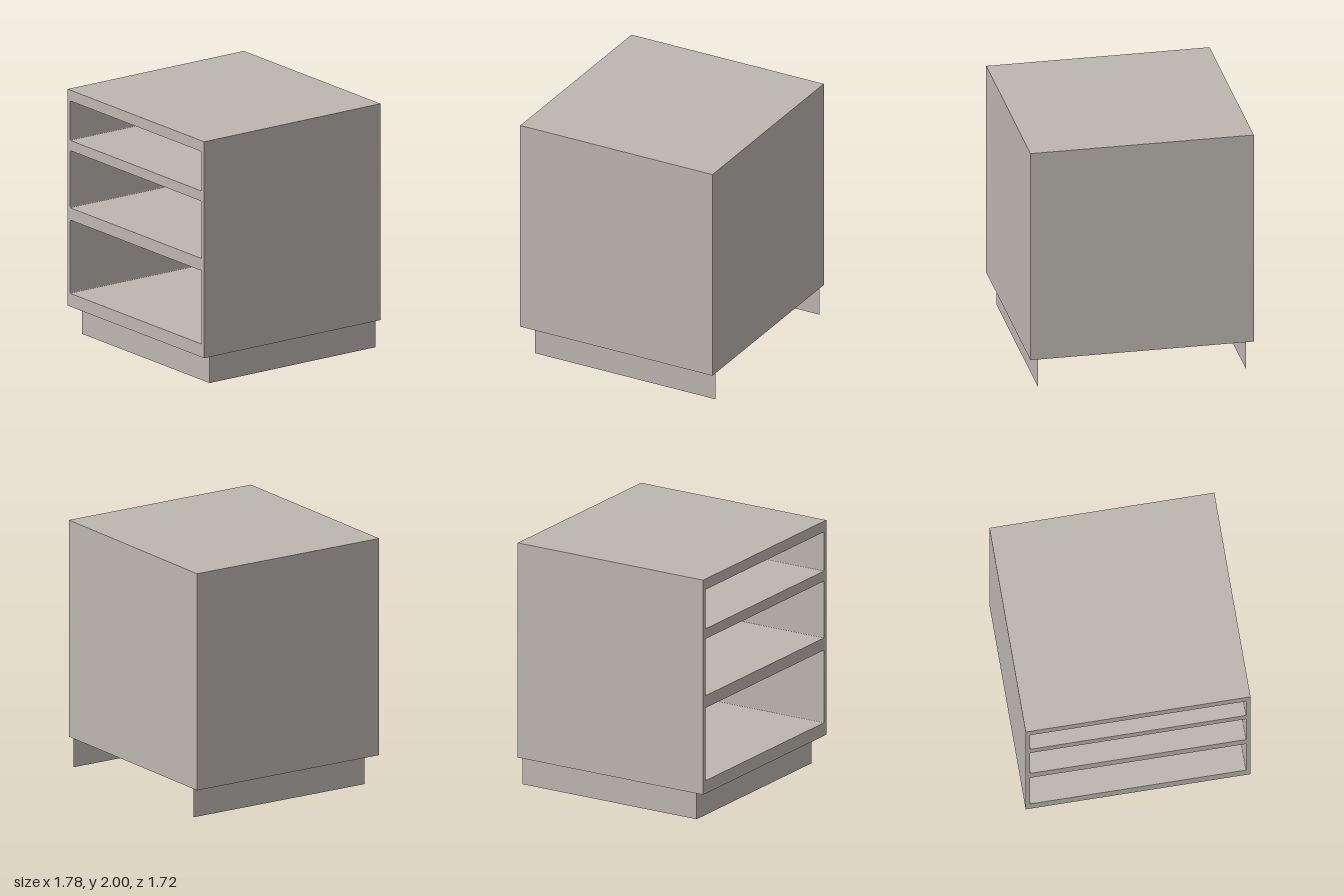
import * as THREE from 'three';

const W = 0.89, D = 0.86;            // half width and half depth of the carcass
const WALL = 0.035, BACK = 0.007;    // thickness of the sides and of the thin back
const BOTTOM = 0.235, DECK = 0.314, TOP = 2;

// Rectangle outline, optionally with rounded corners
function outline(Type, x0, y0, x1, y1, r = 0) {
  const s = new Type();
  if (!r) {
    s.moveTo(x0, y0).lineTo(x1, y0).lineTo(x1, y1).lineTo(x0, y1).closePath();
    return s;
  }
  s.moveTo(x0 + r, y0);
  s.lineTo(x1 - r, y0).quadraticCurveTo(x1, y0, x1, y0 + r);
  s.lineTo(x1, y1 - r).quadraticCurveTo(x1, y1, x1 - r, y1);
  s.lineTo(x0 + r, y1).quadraticCurveTo(x0, y1, x0, y1 - r);
  s.lineTo(x0, y0 + r).quadraticCurveTo(x0, y0, x0 + r, y0);
  return s;
}

export function createModel() {
  const group = new THREE.Group();
  const paint = new THREE.MeshStandardMaterial({ color: 0xbcb6b0, side: THREE.DoubleSide });
  paint.name = 'warmGrey';

  const add = (name, geometry, x = 0, y = 0, z = 0, ry = 0) => {
    const mesh = new THREE.Mesh(geometry, paint);
    mesh.name = name;
    mesh.position.set(x, y, z);
    mesh.rotation.y = ry;
    group.add(mesh);
  };

  // Carcass with three open drawer bays
  const front = outline(THREE.Shape, -W, DECK, W, TOP);
  for (const [low, high] of [[0.342, 0.94], [1.04, 1.507], [1.59, 1.912]]) {
    front.holes.push(outline(THREE.Path, WALL - W, low, W - WALL, high, 0.008));
  }
  add('carcass', new THREE.ExtrudeGeometry(front, {
    depth: 2 * D - BACK, bevelEnabled: false, curveSegments: 4,
  }), 0, 0, BACK - D);

  // Thin back panel closing the bays
  add('backPanel', new THREE.BoxGeometry(2 * W, TOP - DECK, BACK),
    0, (TOP + DECK) / 2, BACK / 2 - D);

  // Skirt of the carcass, hollow below the deck
  const skirt = outline(THREE.Shape, -W, -D, W, D);
  skirt.holes.push(outline(THREE.Path, WALL - W, WALL - D, W - WALL, D - BACK));
  const skirtGeometry = new THREE.ExtrudeGeometry(skirt, { depth: DECK - BOTTOM, bevelEnabled: false });
  skirtGeometry.rotateX(-Math.PI / 2);
  add('skirt', skirtGeometry, 0, BOTTOM, 0);

  // Thin plinth sheets: front and two sides, open at the back
  const px = 0.83, pFront = 0.762, pBack = -0.855;
  add('plinthFront', new THREE.PlaneGeometry(2 * px, BOTTOM), 0, BOTTOM / 2, pFront);
  for (const side of [-1, 1]) {
    add(side > 0 ? 'plinthLeft' : 'plinthRight',
      new THREE.PlaneGeometry(pFront - pBack, BOTTOM),
      side * px, BOTTOM / 2, (pFront + pBack) / 2, side * Math.PI / 2);
  }
  return group;
}
